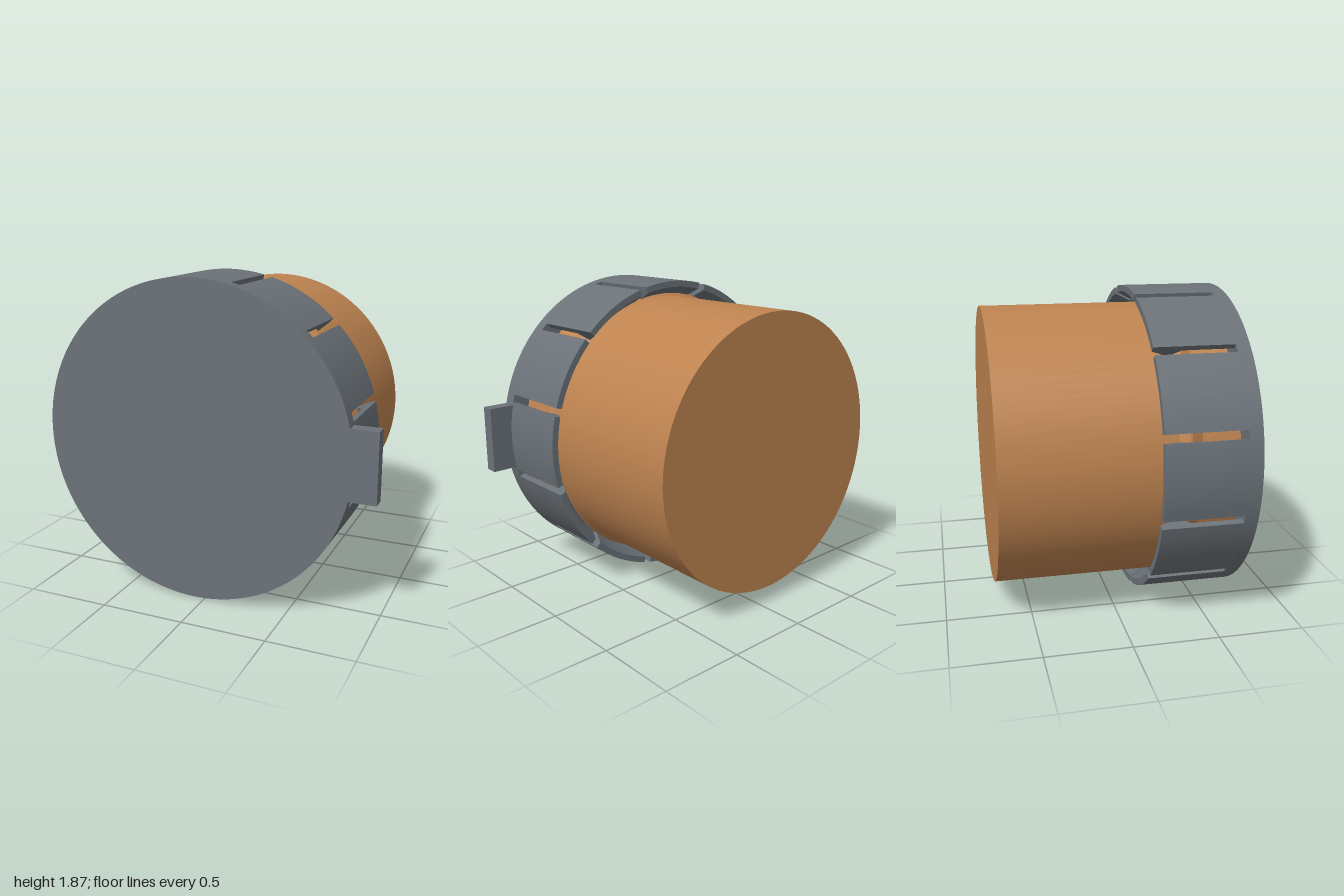
import * as THREE from 'three';
import { toCreasedNormals } from 'three/addons/utils/BufferGeometryUtils.js';

const R = 0.933;                 // cap radius
const CX = -0.067, CY = R;       // shared axis of cap and jar
const FRONT = 0.705, DISC_BACK = 0.625, RIM = 0.16;
const SLOTS = 12, SLOT_WIDTH = 0.05;

const vec = (list) => list.map(([r, z]) => new THREE.Vector2(r, z));

export function createModel() {
  const grey = new THREE.MeshStandardMaterial({ color: 0x6b7278, side: THREE.DoubleSide });
  grey.name = 'greyPlastic';
  const orange = new THREE.MeshStandardMaterial({ color: 0xbe8350 });
  orange.name = 'orangePlastic';

  const model = new THREE.Group();
  model.name = 'jarWithSnapCap';
  const add = (parent, name, geometry, material) => {
    const mesh = new THREE.Mesh(toCreasedNormals(geometry, 0.4), material);
    mesh.name = name;
    parent.add(mesh);
    return mesh;
  };

  // Jar: a solid turned body with a sloped snap bead under the cap
  const jarProfile = vec([
    [0, -FRONT], [0.83, -FRONT], [0.83, 0.27], [0.87, 0.318], [0.87, 0.332],
    [0.83, 0.4], [0.83, 0.615], [0, 0.615],
  ]);
  const jar = add(model, 'jarBody', new THREE.LatheGeometry(jarProfile, 96).rotateX(Math.PI / 2), orange);
  jar.position.set(CX, CY, 0);

  const cap = new THREE.Group();
  cap.name = 'cap';
  cap.position.set(CX, CY, 0);
  model.add(cap);

  // Cap disc with its pull tab in one outline
  const tabHalf = 0.2, tabEnd = 1 - CX;
  const a = Math.asin(tabHalf / R);
  const outline = new THREE.Shape();
  outline.absarc(0, 0, R, a, Math.PI * 2 - a, false);
  outline.lineTo(tabEnd, -tabHalf);
  outline.lineTo(tabEnd, tabHalf);
  outline.closePath();
  const disc = new THREE.ExtrudeGeometry(outline, {
    depth: FRONT - DISC_BACK, bevelEnabled: false, curveSegments: 96,
  });
  add(cap, 'capDiscWithTab', disc, grey).position.z = DISC_BACK;

  // Skirt: spring fingers between slots, each with an inner snap ridge
  const section = vec([
    [R, RIM], [R, DISC_BACK], [0.895, DISC_BACK], [0.895, 0.33],
    [0.85, 0.265], [0.85, 0.245], [0.895, RIM],
  ]);
  const pitch = (Math.PI * 2) / SLOTS;
  const gap = SLOT_WIDTH / R;
  const span = pitch - gap;
  for (let i = 0; i < SLOTS; i++) {
    const start = (i - 0.5) * pitch + gap / 2;
    const finger = new THREE.Group();
    finger.name = `skirtFinger${i + 1}`;
    cap.add(finger);
    const wall = new THREE.LatheGeometry([...section, section[0]], 8, start, span);
    add(finger, 'fingerWall', wall.rotateX(Math.PI / 2), grey);
    // Flat sides facing the slots
    for (const phi of [start, start + span]) {
      const side = new THREE.ShapeGeometry(new THREE.Shape(section));
      side.rotateY(phi - Math.PI / 2).rotateX(Math.PI / 2);
      add(finger, 'fingerSide', side, grey);
    }
  }
  return model;
}
